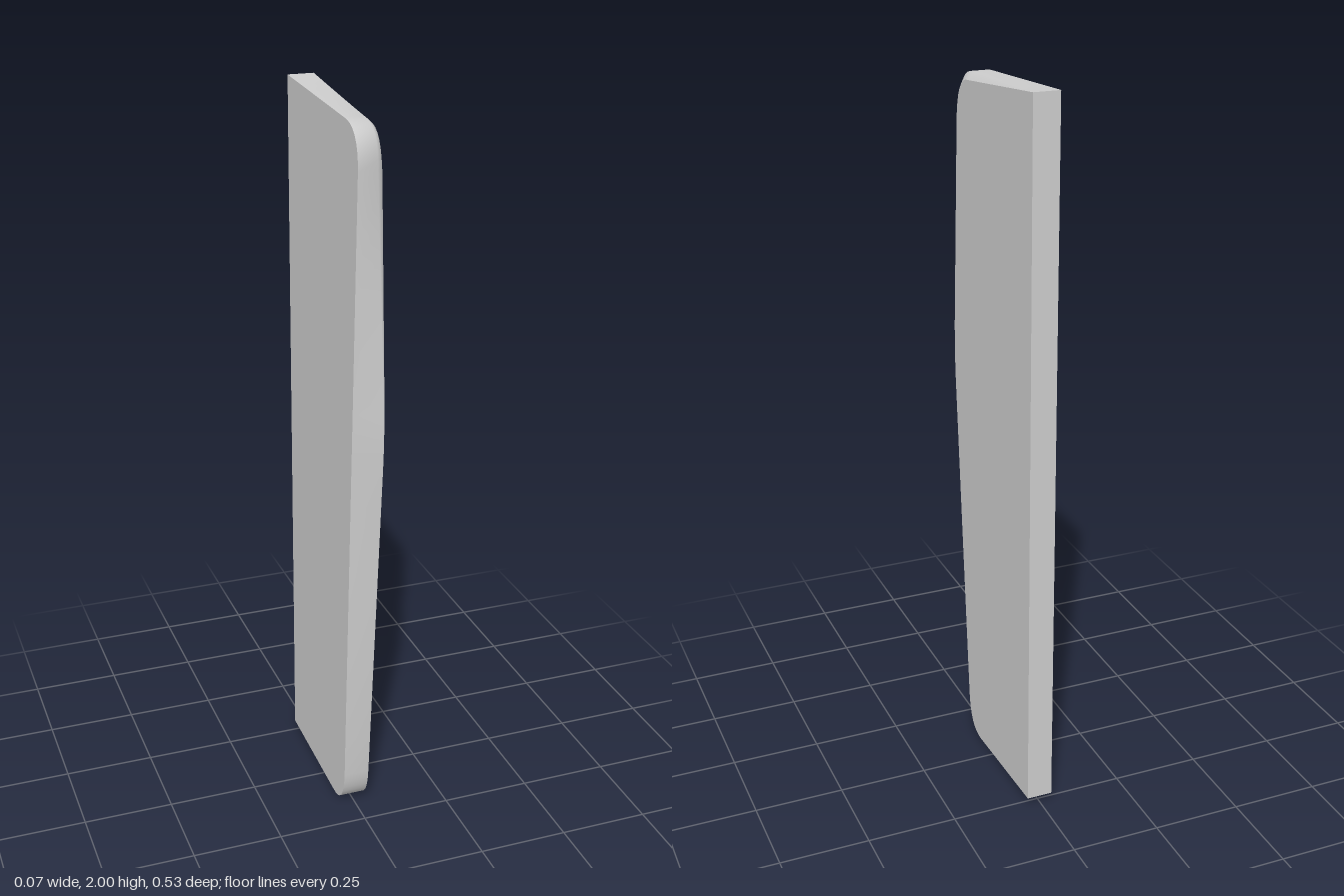
import * as THREE from 'three';

const HALF = 0.036; // half the panel thickness
const STEPS = 8;    // samples per corner or run

// Outline in (z, y) from bottom back, round the front, to top back.
// x runs from xSide to xTop towards the upper front corner and back again.
function outline(bottom, middle, top, xSide, xTop) {
  const pts = [];
  const v = ([z, y]) => new THREE.Vector2(z, y);
  const line = (a, b) => new THREE.LineCurve(v(a), v(b));
  const bend = (a, c, b) => new THREE.QuadraticBezierCurve(v(a), v(c), v(b));
  const add = (curve, x0, x1) => {
    for (let i = 0; i < STEPS; i++) {
      const t = i / STEPS, p = curve.getPoint(t);
      pts.push(new THREE.Vector3(x0 + (x1 - x0) * t, p.y, p.x));
    }
  };
  add(line([-0.266, 0.022], bottom[0]), xSide, xSide);
  add(bend(...bottom), xSide, xSide);
  add(line(bottom[2], middle[0]), xSide, xSide);
  add(bend(...middle), xSide, xSide);
  add(line(middle[2], top[0]), xSide, xTop);
  add(bend(...top), xTop, xTop);
  add(line(top[2], [-0.266, 2]), xTop, xSide);
  pts.push(new THREE.Vector3(xSide, 2, -0.266));
  return pts;
}

function geometry(points, index) {
  const g = new THREE.BufferGeometry().setFromPoints(points);
  g.setIndex(index);
  g.computeVertexNormals();
  return g;
}

// Flat side face as a fan over a convex outline
function fan(points, flip) {
  const index = [];
  for (let i = 1; i < points.length - 1; i++) {
    index.push(0, flip ? i + 1 : i, flip ? i : i + 1);
  }
  return geometry(points, index);
}

// Smooth skin across neighbouring outlines
function skin(rings) {
  const n = rings[0].length, index = [];
  for (let r = 0; r < rings.length - 1; r++) {
    for (let i = 0; i < n - 1; i++) {
      const a = r * n + i, b = a + n;
      index.push(a, b, b + 1, a, b + 1, a + 1);
    }
  }
  return geometry(rings.flat(), index);
}

export function createModel() {
  const group = new THREE.Group();
  group.name = 'panel';
  const material = new THREE.MeshStandardMaterial({ color: 0xcccccc });
  const add = (name, geo) => {
    const mesh = new THREE.Mesh(geo, material);
    mesh.name = name;
    group.add(mesh);
  };

  const bottom = [[0.09, 0.002], [0.17, -0.002], [0.18, 0.11]];
  const fullTop = [[0.259, 1.86], [0.262, 1.972], [0.16, 1.973]];
  const insetTop = [[0.235, 1.83], [0.229, 1.955], [0.15, 1.955]];
  const straight = [[0.225, 1.1], [0.2285, 1.175], [0.232, 1.25]];
  const bowed = [[0.264, 1.09], [0.271, 1.175], [0.267, 1.27]];

  // Right outline has a straight front; the left one bows out and is cut back at the top
  const right = outline(bottom, straight, fullTop, -HALF, -HALF);
  const ridge = outline(bottom, bowed, fullTop, HALF - 0.002, 0.015);
  const left = outline(bottom, bowed, insetTop, HALF, HALF);

  add('rightFace', fan(right, false));
  add('leftFace', fan(left, true));
  add('taperedRim', skin([right, ridge, left]));

  // Flat back edge
  const last = right.length - 1;
  add('backEdge', geometry([right[last], left[last], left[0], right[0]], [0, 1, 2, 0, 2, 3]));
  return group;
}
